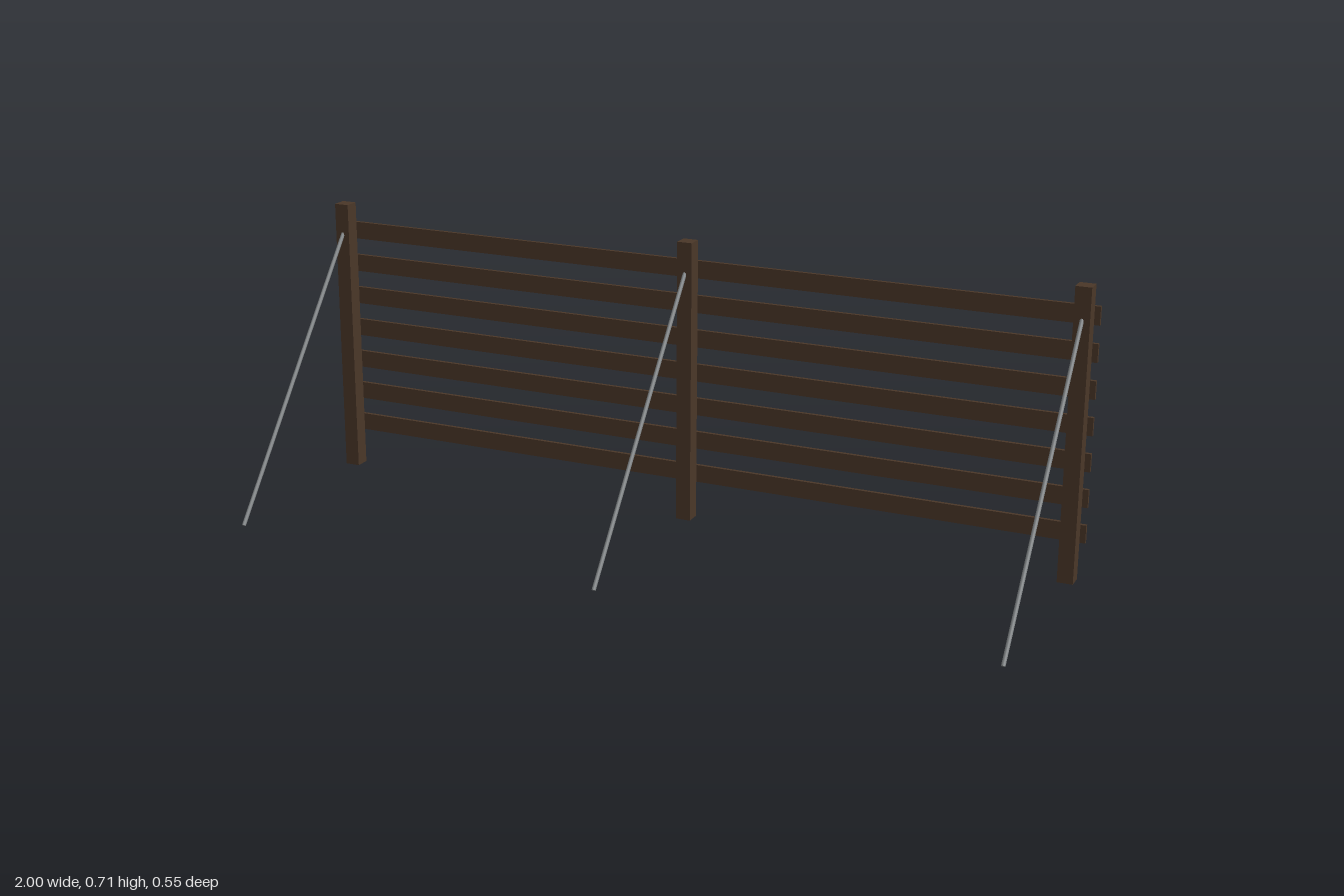
import * as THREE from 'three';

export function createModel() {
  const fence = new THREE.Group();
  fence.name = 'slattedFence';
  const wood = new THREE.MeshStandardMaterial({ color: 0x4a3728 });
  const metal = new THREE.MeshStandardMaterial({ color: 0x808486 });

  const add = (name, geometry, material, x, y, z) => {
    const mesh = new THREE.Mesh(geometry, material);
    mesh.name = name;
    mesh.position.set(x, y, z);
    fence.add(mesh);
    return mesh;
  };

  // Horizontal slats behind the posts
  const slat = new THREE.BoxGeometry(2, 0.044, 0.009);
  for (let i = 0; i < 7; i++) {
    add('slat' + (i + 1), slat, wood, 0, 0.117 + i * 0.087, -0.2705);
  }

  // Each post has a slanted rod running from near its top to the ground in front
  const post = new THREE.BoxGeometry(0.038, 0.708, 0.038);
  const foot = new THREE.Vector3(0, 0.003, 0.271);
  const head = new THREE.Vector3(0, 0.637, -0.23);
  const along = head.clone().sub(foot);
  const middle = foot.clone().add(head).multiplyScalar(0.5);
  const rod = new THREE.CylinderGeometry(0.005, 0.005, along.length(), 12);
  const tilt = new THREE.Quaternion().setFromUnitVectors(
    new THREE.Vector3(0, 1, 0), along.clone().normalize());

  [['right', -0.968], ['middle', 0], ['left', 0.968]].forEach(([side, x]) => {
    add(side + 'Post', post, wood, x, 0.359, -0.245);
    add(side + 'Brace', rod, metal, x, middle.y, middle.z).quaternion.copy(tilt);
  });

  return fence;
}
